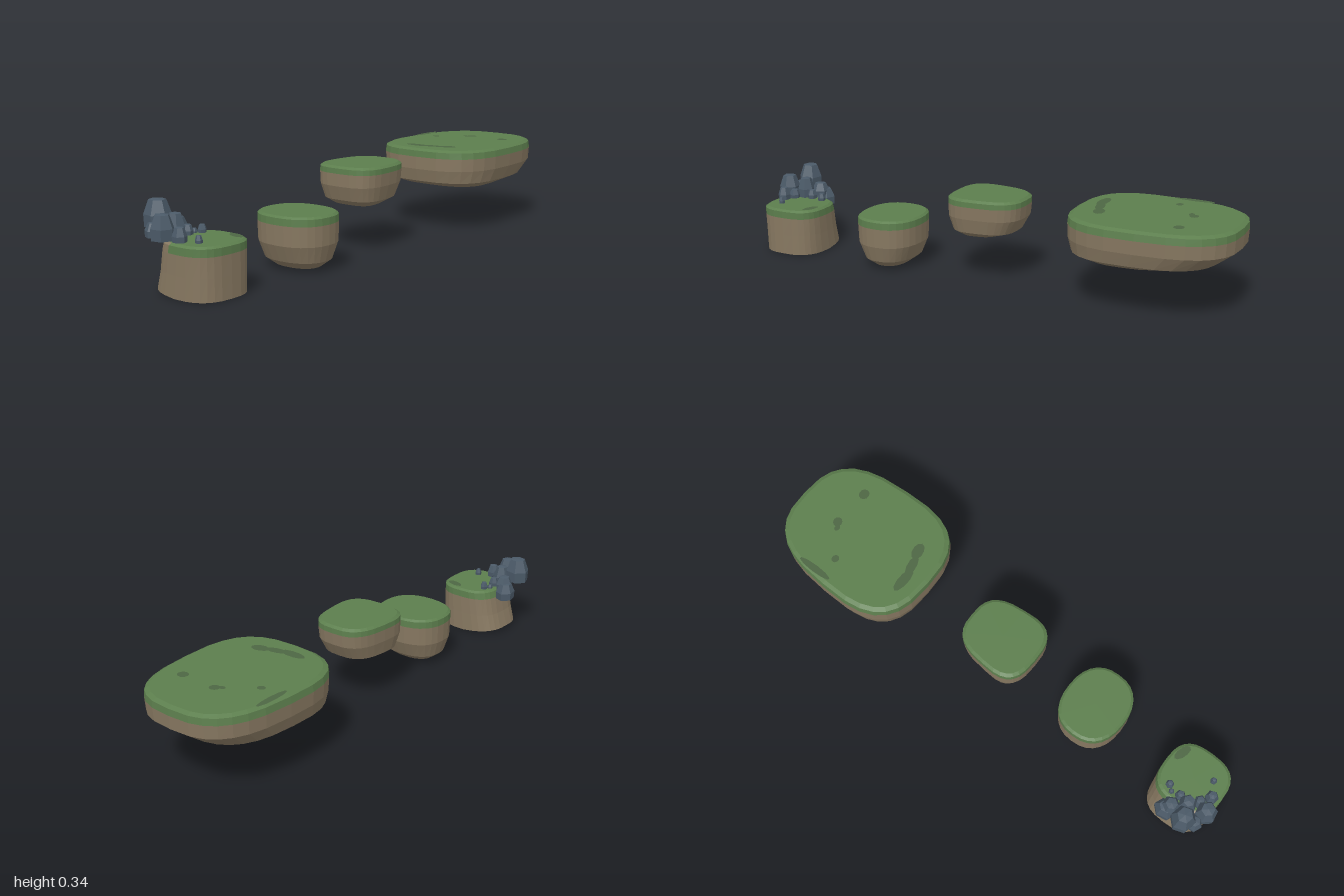
import * as THREE from 'three';

const mat = (name, color, flat = true) => {
  const m = new THREE.MeshStandardMaterial({ color, flatShading: flat, side: THREE.DoubleSide });
  m.name = name;
  return m;
};

const SEG = 28;

// Rounded-square ring: c = [x, z] centre, h = half sizes, n = squareness, taper narrows the back
function ring([y, cx, cz, hx, hz], n, taper) {
  const pts = [];
  for (let i = 0; i < SEG; i++) {
    const t = (i / SEG) * Math.PI * 2, c = Math.cos(t), s = Math.sin(t);
    const u = Math.sign(c) * Math.abs(c) ** (2 / n);
    const v = Math.sign(s) * Math.abs(s) ** (2 / n);
    pts.push(cx + u * hx * (1 + taper * (v - 0.3)), y, cz + v * hz);
  }
  return pts;
}

// Skin between rings (bottom to top); keep(i) picks the segments, caps are optional
function loft(rows, { n, taper = 0, top = false, bottom = false, keep = () => true }) {
  const pos = [], idx = [];
  rows.forEach(r => pos.push(...ring(r, n, taper)));
  for (let k = 0; k < rows.length - 1; k++) {
    for (let i = 0; i < SEG; i++) {
      if (!keep(i)) continue;
      const j = (i + 1) % SEG, a = k * SEG + i, b = k * SEG + j;
      idx.push(a, a + SEG, b, b, a + SEG, b + SEG);
    }
  }
  const cap = (row, k, up) => {
    const c = pos.length / 3;
    pos.push(row[1], row[0], row[2]);
    for (let i = 0; i < SEG; i++) {
      const a = k * SEG + i, b = k * SEG + (i + 1) % SEG;
      idx.push(c, ...(up ? [b, a] : [a, b]));
    }
  };
  if (top) cap(rows[rows.length - 1], rows.length - 1, true);
  if (bottom) cap(rows[0], 0, false);
  const g = new THREE.BufferGeometry();
  g.setAttribute('position', new THREE.Float32BufferAttribute(pos, 3));
  g.setIndex(idx);
  g.computeVertexNormals();
  return g;
}

export function createModel() {
  const model = new THREE.Group();
  model.name = 'floatingIslands';
  const earth = mat('earth brown', 0x877861);
  const grass = mat('grass green', 0x5c7e4d);
  const moss = mat('dark moss', 0x4d6643);
  const stone = mat('slate stone', 0x4b5a68);

  const add = (parent, name, geo, material) => {
    const m = new THREE.Mesh(geo, material);
    m.name = name;
    parent.add(m);
    return m;
  };

  // rows are [y, centre x, centre z, half x, half z]; `split` is the first grass row
  const islands = [
    { name: 'largeIsland', n: 2.9, taper: 0.06, split: 3, bottom: true, rows: [
      [0.176, 0, -0.625, 0.19, 0.165], [0.2, 0, -0.66, 0.238, 0.27], [0.25, 0, -0.687, 0.253, 0.31],
      [0.3, 0, -0.688, 0.256, 0.312], [0.325, 0, -0.688, 0.252, 0.31], [0.333, 0, -0.688, 0.237, 0.294]] },
    { name: 'mediumIsland', n: 3, taper: 0.1, split: 3, bottom: true, rows: [
      [0.173, 0.01, 0.005, 0.085, 0.07], [0.195, 0.01, -0.012, 0.12, 0.122], [0.25, 0.01, -0.018, 0.133, 0.147],
      [0.298, 0.01, -0.02, 0.136, 0.15], [0.318, 0.01, -0.02, 0.135, 0.149], [0.326, 0.01, -0.02, 0.124, 0.138]] },
    { name: 'smallIsland', n: 2.35, split: 3, bottom: true, rows: [
      [0.01, 0.048, 0.393, 0.09, 0.06], [0.038, 0.048, 0.393, 0.128, 0.098], [0.1, 0.048, 0.393, 0.146, 0.124],
      [0.174, 0.048, 0.393, 0.148, 0.127], [0.2, 0.048, 0.393, 0.147, 0.126], [0.207, 0.048, 0.393, 0.137, 0.117]] },
    { name: 'rockyIsland', n: 2.8, split: 2, bareFrom: 8, bareTo: 13, rows: [
      [0, 0.027, 0.848, 0.141, 0.126], [0.08, 0.037, 0.848, 0.131, 0.126],
      [0.15, 0.044, 0.848, 0.124, 0.127], [0.177, 0.048, 0.848, 0.12, 0.126], [0.184, 0.048, 0.848, 0.11, 0.116]] },
  ];

  for (const { name, n, taper, split, bottom, bareFrom = 99, bareTo = 0, rows } of islands) {
    const g = new THREE.Group();
    g.name = name;
    model.add(g);
    const bare = i => i >= bareFrom && i <= bareTo;
    const upper = rows.slice(split);
    add(g, 'earthBody', loft(rows.slice(0, split + 1), { n, taper, bottom }), earth);
    add(g, 'grassRim', loft(upper, { n, taper, keep: i => !bare(i) }), grass);
    add(g, 'grassTop', loft(upper.slice(-1), { n, taper, top: true }), grass);
    if (bareTo) add(g, 'bareRim', loft(upper, { n, taper, keep: bare }), earth);
  }

  // Lift the left edge of the hollow island's bottom rim
  const rim = model.getObjectByName('rockyIsland').getObjectByName('earthBody').geometry;
  const p = rim.attributes.position;
  for (let i = 0; i < SEG; i++) p.setY(i, 0.015 * Math.max(0, -(p.getX(i) - 0.03) / 0.14));
  rim.computeVertexNormals();

  // Moss patches: [x, y, z, radius x, radius z, turn]
  const patches = [
    [-0.05, 0.335, -0.455, 0.055, 0.02, 0], [0.015, 0.335, -0.468, 0.045, 0.018, 0.2], [0.075, 0.335, -0.488, 0.036, 0.022, 0.2],
    [0.133, 0.335, -0.807, 0.022, 0.02, 0], [-0.02, 0.335, -0.81, 0.02, 0.018, 0.4], [-0.04, 0.335, -0.795, 0.014, 0.01, 0],
    [-0.143, 0.335, -0.715, 0.016, 0.014, 0], [-0.222, 0.335, -0.75, 0.014, 0.075, 0],
    [0.1, 0.186, 0.757, 0.038, 0.017, -0.3],
  ];
  for (const [x, y, z, rx, rz, turn] of patches) {
    const m = add(model, 'mossPatch', new THREE.CircleGeometry(1, 10).rotateX(-Math.PI / 2), moss);
    m.position.set(x, y, z);
    m.scale.set(rx, 1, rz);
    m.rotation.y = turn;
  }

  // Faceted boulders: [x, base y, z, radius x, height, radius z, turn]
  const profile = [[0, 0], [0.95, 0], [1, 0.45], [0.62, 0.96], [0, 1]].map(([r, y]) => new THREE.Vector2(r, y));
  const boulder = new THREE.LatheGeometry(profile, 6);
  const rocks = [
    [-0.118, 0.21, 0.905, 0.05, 0.098, 0.046, 0.3], [-0.04, 0.185, 0.957, 0.043, 0.088, 0.041, 0.7],
    [-0.11, 0.148, 0.83, 0.037, 0.068, 0.044, 0.2], [-0.055, 0.18, 0.885, 0.036, 0.085, 0.034, 0.9],
    [-0.095, 0.18, 0.84, 0.036, 0.06, 0.036, 0.5], [-0.095, 0.185, 0.945, 0.032, 0.05, 0.03, 0.1],
    [0.024, 0.178, 0.94, 0.026, 0.057, 0.025, 0.4], [-0.015, 0.18, 0.915, 0.026, 0.04, 0.022, 0.8],
    [-0.04, 0.18, 0.845, 0.02, 0.04, 0.02, 0.3],
    [0.082, 0.18, 0.91, 0.013, 0.031, 0.013, 0.2], [-0.028, 0.18, 0.79, 0.016, 0.033, 0.016, 0.6],
    [-0.045, 0.18, 0.81, 0.011, 0.02, 0.011, 0],
  ];
  const pile = new THREE.Group();
  pile.name = 'rockPile';
  model.add(pile);
  for (const [x, y, z, rx, h, rz, turn] of rocks) {
    const geo = boulder.clone().rotateY(turn).scale(rx, h, rz);
    add(pile, 'rock', geo, stone).position.set(x, y, z);
  }
  return model;
}
